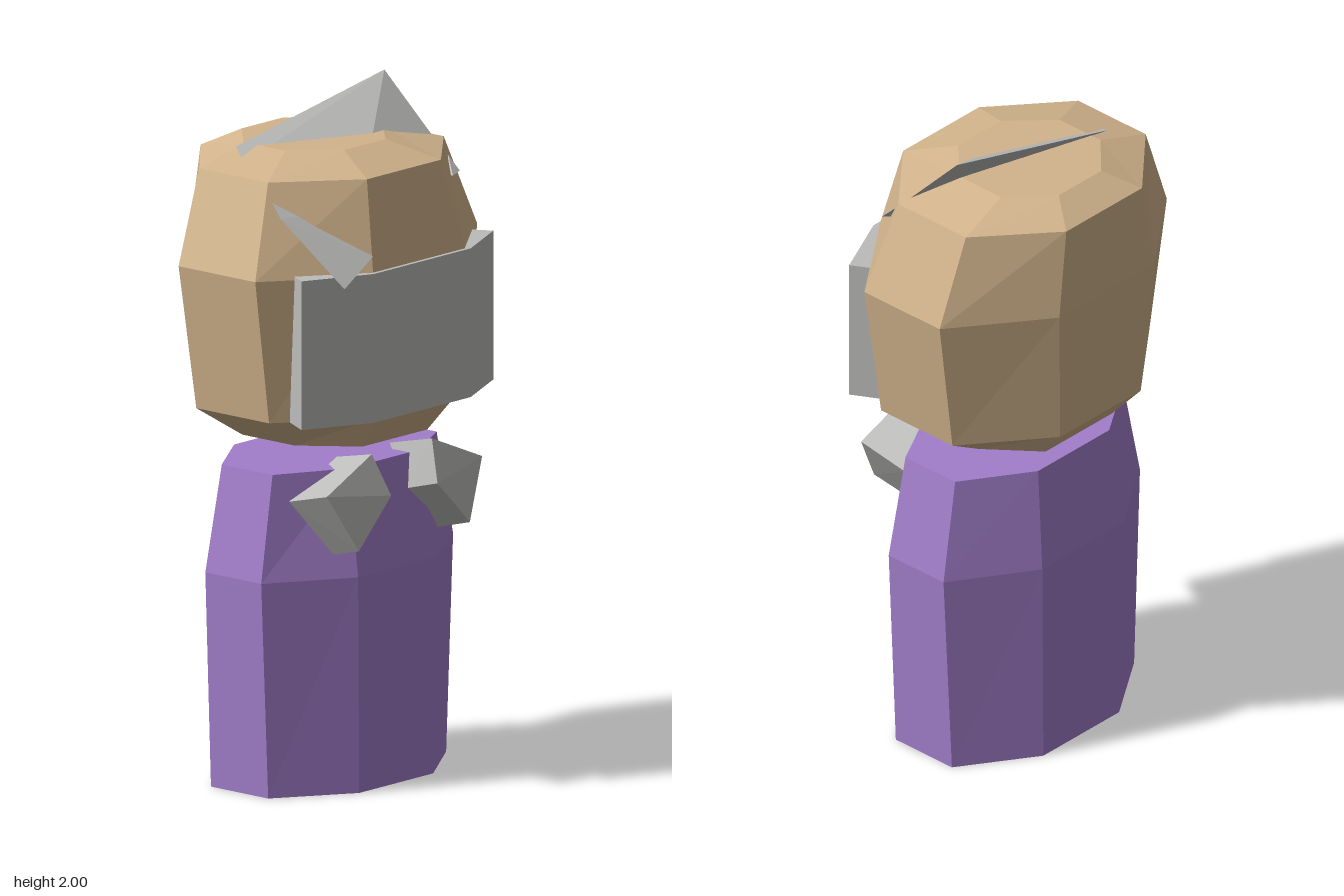
import * as THREE from 'three';
import { ConvexGeometry } from 'three/addons/geometries/ConvexGeometry.js';

const flat = (name, color) => {
  const m = new THREE.MeshStandardMaterial({ color, flatShading: true });
  m.name = name;
  return m;
};

// Eight-sided ring: half widths, then front, side-front, side-back and back z
const octagon = ([y, xi, xo, zf, sf, sb, zb]) => [
  [xi, y, zf], [xo, y, sf], [xo, y, sb], [xi, y, zb],
  [-xi, y, zb], [-xo, y, sb], [-xo, y, sf], [-xi, y, zf],
];

// Skin between rings listed bottom to top, closed by flat caps
function loft(rings) {
  const pos = [];
  const tri = (...corners) => corners.forEach((c) => pos.push(...c));
  const n = rings[0].length;
  for (let r = 0; r < rings.length - 1; r++) {
    for (let i = 0; i < n; i++) {
      const j = (i + 1) % n;
      const lo = rings[r], hi = rings[r + 1];
      tri(lo[i], lo[j], hi[j]);
      tri(lo[i], hi[j], hi[i]);
    }
  }
  const bottom = rings[0], top = rings[rings.length - 1];
  for (let i = 1; i < n - 1; i++) {
    tri(bottom[0], bottom[i + 1], bottom[i]);
    tri(top[0], top[i], top[i + 1]);
  }
  const g = new THREE.BufferGeometry();
  g.setAttribute('position', new THREE.Float32BufferAttribute(pos, 3));
  g.computeVertexNormals();
  return g;
}

const hull = (points) => new ConvexGeometry(points.map((p) => new THREE.Vector3(...p)));

export function createModel() {
  const model = new THREE.Group();
  const tan = flat('tan', 0xd2b48c);
  const purple = flat('purple', 0xa27ecb);
  const grey = flat('grey', 0xbcbcba);
  const add = (name, geometry, material) => {
    const mesh = new THREE.Mesh(geometry, material);
    mesh.name = name;
    model.add(mesh);
  };

  // Body
  add('body', loft([
    [0, 0.16, 0.385, 0.24, 0.09, -0.13, -0.28],
    [0.64, 0.17, 0.415, 0.245, 0.09, -0.125, -0.285],
    [0.95, 0.15, 0.355, 0.19, 0.08, -0.115, -0.25],
  ].map(octagon)), purple);

  // Head floating just above the body
  add('head', loft([
    [1.02, 0.14, 0.26, 0.235, 0.08, -0.12, -0.27],
    [1.12, 0.17, 0.415, 0.31, 0.12, -0.16, -0.355],
    [1.55, 0.2, 0.48, 0.33, 0.125, -0.17, -0.38],
    [1.82, 0.16, 0.38, 0.27, 0.085, -0.18, -0.37],
    [1.87, 0.09, 0.21, 0.12, 0, -0.16, -0.275],
  ].map(octagon)), tan);

  // Face mask wrapping the front, its back buried in the head
  const maskRing = (y) => [
    [0.21, y, 0.34], [0.415, y, 0.245], [0.33, y, 0.09],
    [-0.33, y, 0.09], [-0.415, y, 0.245], [-0.21, y, 0.34],
  ];
  add('mask', loft([maskRing(1.12), maskRing(1.56)]), grey);

  // Mirrored tapered chunks at the chest
  for (const [name, s] of [['leftHand', 1], ['rightHand', -1]]) {
    add(name, hull([
      [0.13, 1.0, 0.262], [0.336, 0.912, 0.272], [0.24, 0.74, 0.31], [0.1, 0.88, 0.31],
      [0.115, 0.966, 0.113], [0.32, 0.87, 0.113], [0.225, 0.71, 0.198], [0.087, 0.85, 0.2],
    ].map(([x, y, z]) => [x * s, y, z])), grey);
  }

  // Shards breaking through the head
  add('topShard', hull([
    [0.32, 2.0, -0.09], [0.345, 1.82, 0.08], [0.01, 1.8, 0.118],
    [-0.265, 1.87, -0.14], [-0.3, 1.835, -0.08],
  ]), grey);
  add('rightShard', hull([
    [-0.375, 1.55, 0.375], [-0.385, 1.765, 0.105], [-0.41, 1.73, 0.16],
    [-0.19, 1.605, 0.32], [-0.25, 1.62, 0.2], [-0.27, 1.72, 0.17],
  ]), grey);
  add('leftShard', hull([
    [0.315, 1.73, 0.178], [0.355, 1.775, 0.125], [0.36, 1.735, 0.165], [0.28, 1.72, 0.1],
  ]), grey);

  return model;
}
